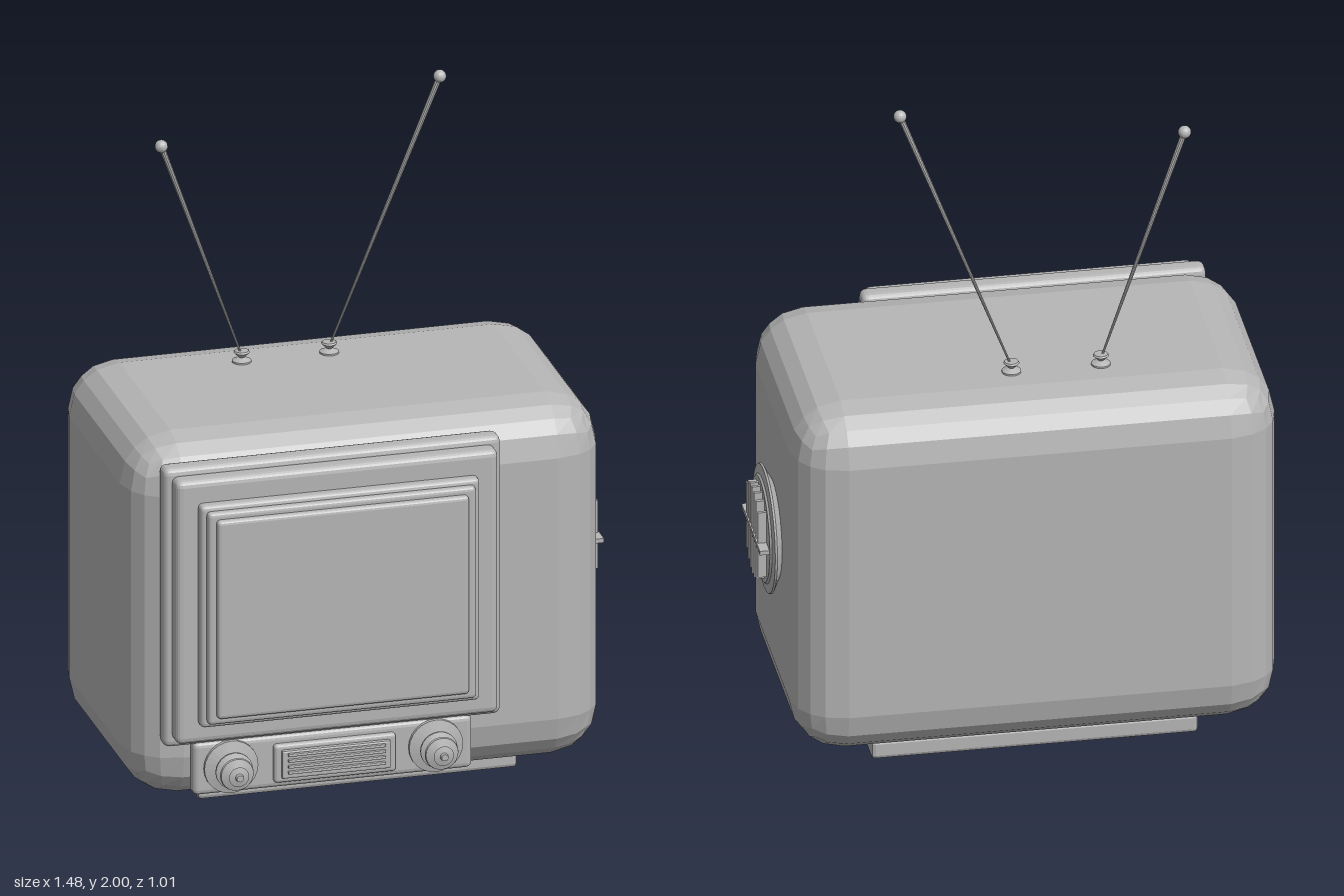
import * as THREE from 'three';
import { RoundedBoxGeometry } from 'three/addons/geometries/RoundedBoxGeometry.js';

export function createModel() {
  const group = new THREE.Group();
  group.name = 'television';
  const grey = new THREE.MeshStandardMaterial({ color: 0xb6b6b6, flatShading: true });
  grey.name = 'plain grey';

  const add = (name, geometry, x = 0, y = 0, z = 0) => {
    const mesh = new THREE.Mesh(geometry, grey);
    mesh.name = name;
    mesh.position.set(x, y, z);
    group.add(mesh);
    return mesh;
  };
  // Rounded box given by its extents on each axis
  const box = (name, [x0, x1], [y0, y1], [z0, z1], radius, segments = 2) =>
    add(name, new RoundedBoxGeometry(x1 - x0, y1 - y0, z1 - z0, segments, radius),
      (x0 + x1) / 2, (y0 + y1) / 2, (z0 + z1) / 2);
  // Turned part from [radius, height] pairs
  const turned = (points, sides = 24) =>
    new THREE.LatheGeometry(points.map(([r, h]) => new THREE.Vector2(r, h)), sides);

  // Cabinet and plinth
  box('cabinet', [-0.74, 0.672], [0.045, 1.147], [-0.508, 0.332], 0.15);
  box('plinth', [-0.51, 0.44], [0, 0.06], [-0.41, 0.19], 0.012, 1);

  // Stepped screen surround, each layer smaller and further forward
  box('outerFrame', [-0.665, 0.337], [0.25, 1.107], [0.322, 0.386], 0.02);
  box('middleFrame', [-0.642, 0.315], [0.275, 1.085], [0.37, 0.437], 0.02);
  box('innerFrame', [-0.578, 0.252], [0.333, 1.016], [0.42, 0.468], 0.014);
  box('screenRim', [-0.561, 0.235], [0.348, 1.0], [0.45, 0.488], 0.012);
  box('screen', [-0.538, 0.21], [0.37, 0.98], [0.475, 0.506], 0.012);

  // Control panel with its slatted dial window
  box('controlPanel', [-0.578, 0.25], [0.095, 0.257], [0.335, 0.388], 0.016);
  box('dialFrame', [-0.342, 0.02], [0.115, 0.232], [0.37, 0.405], 0.01);
  box('dialWindow', [-0.322, 0.002], [0.13, 0.217], [0.39, 0.415], 0.006, 1);
  for (let i = 0; i < 4; i++) {
    const y = 0.146 + i * 0.018;
    box('dialSlat', [-0.305, -0.015], [y, y + 0.009], [0.405, 0.424], 0.003, 1);
  }

  // Tuning knobs, flared in tiers
  const knob = turned([[0, 0], [0.08, 0], [0.08, 0.012], [0.035, 0.022], [0.055, 0.038],
    [0.055, 0.044], [0.025, 0.054], [0.05, 0.07], [0.048, 0.076], [0.02, 0.084],
    [0.03, 0.094], [0.012, 0.098], [0.01, 0.108], [0, 0.108]]);
  for (const x of [-0.468, 0.14]) {
    add('tuningKnob', knob, x, 0.178, 0.386).rotation.x = Math.PI / 2;
  }

  // Round speaker on the left side
  const speaker = { y: 0.613, z: -0.1 };
  add('speakerRing', turned([[0, 0], [0.145, 0], [0.19, 0.024], [0.188, 0.03], [0.16, 0.034],
    [0.155, 0.04], [0, 0.04]], 32), 0.668, speaker.y, speaker.z).rotation.z = -Math.PI / 2;
  for (let i = -3; i <= 3; i++) {
    const half = Math.sqrt(0.14 ** 2 - (i * 0.031) ** 2);
    add('speakerBar', new THREE.BoxGeometry(0.035, half * 2, 0.011),
      0.715, speaker.y, speaker.z + i * 0.031);
  }
  add('speakerCrossbar', new THREE.BoxGeometry(0.036, 0.013, 0.296), 0.718, speaker.y, speaker.z);

  // Pair of aerials: hourglass socket, tapered rod and ball tip
  const socket = turned([[0, 0], [0.028, 0], [0.028, 0.007], [0.008, 0.016], [0.023, 0.031],
    [0.02, 0.036], [0, 0.036]], 20);
  const up = new THREE.Vector3(0, 1, 0);
  const aerials = [
    [new THREE.Vector3(-0.251, 1.165, -0.272), new THREE.Vector3(-0.502, 1.853, -0.228)],
    [new THREE.Vector3(0.009, 1.165, -0.272), new THREE.Vector3(0.325, 1.981, -0.228)],
  ];
  for (const [base, tip] of aerials) {
    add('aerialSocket', socket, base.x, 1.145, base.z);
    const along = tip.clone().sub(base);
    const rod = add('aerialRod', new THREE.CylinderGeometry(0.009, 0.003, along.length(), 10));
    rod.position.copy(base).add(tip).multiplyScalar(0.5);
    rod.quaternion.setFromUnitVectors(up, along.normalize());
    add('aerialTip', new THREE.SphereGeometry(0.019, 16, 12), tip.x, tip.y, tip.z);
  }
  return group;
}
